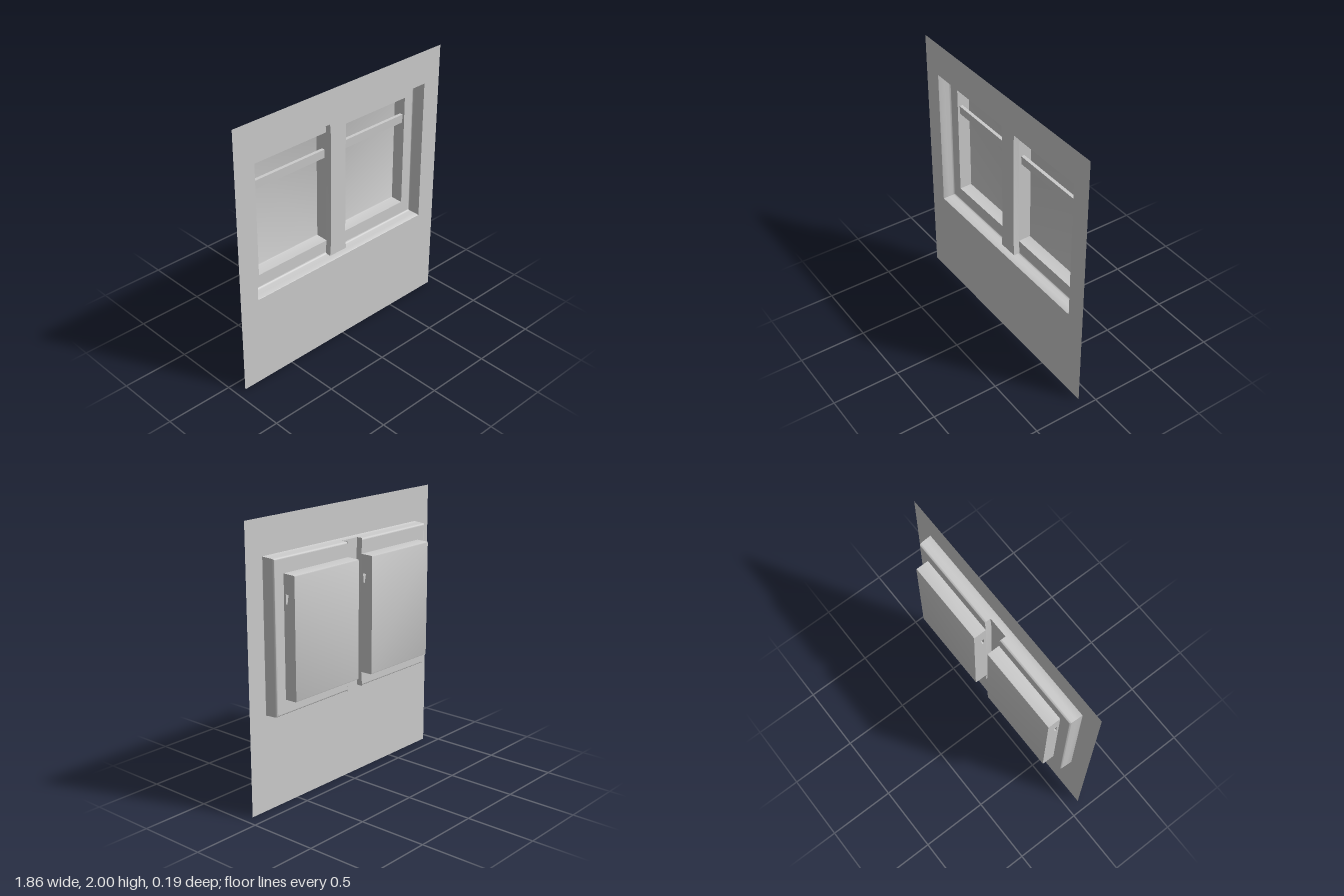
import * as THREE from 'three';
import { toCreasedNormals } from 'three/addons/utils/BufferGeometryUtils.js';

const material = new THREE.MeshStandardMaterial({ color: 0xcccccc, side: THREE.DoubleSide });

// Main dimensions
const FRONT = 0.095, MID = 0.045, BACK = -0.095;
const OPEN = { x: 0.782, top: 1.752, bottom: 0.68 };
const NICHE = { inner: 0.069, outer: 0.69, top: 1.64, bottom: 0.79 };

function addMesh(parent, name, geometry) {
  const mesh = new THREE.Mesh(geometry, material);
  mesh.name = name;
  parent.add(mesh);
  return mesh;
}

// Skin a surface over a list of cross-sections, each a list of [x, y, z]
function loft(sections) {
  const n = sections[0].length;
  const index = [];
  for (let i = 0; i < sections.length - 1; i++) {
    for (let j = 0; j < n - 1; j++) {
      const a = i * n + j, b = a + n;
      index.push(a, b, a + 1, b, b + 1, a + 1);
    }
  }
  const geometry = new THREE.BufferGeometry();
  geometry.setAttribute('position', new THREE.Float32BufferAttribute(sections.flat(2), 3));
  geometry.setIndex(index);
  geometry.computeVertexNormals();
  return toCreasedNormals(geometry, 0.6);
}

const polygon = (pts) => new THREE.Shape(pts.map(([x, y]) => new THREE.Vector2(x, y)));

// Run a [z, y] profile along x
const sweepX = (profile, x0, x1) =>
  loft([x0, x1].map((x) => profile.map(([z, y]) => [x, y, z])));

// Recess wall: slight draft, then a rounded turn into the back plate, as [inset, z]
const draft = [[0, FRONT], [0.002, FRONT - 0.004], [0.004, MID]];
const turn = [[0.004, MID], [0.006, 0.014]];
for (let i = 1; i <= 5; i++) {
  const a = (i / 5) * Math.PI / 2;
  turn.push([0.018 - 0.012 * Math.cos(a), 0.014 - 0.014 * Math.sin(a)]);
}

// Mullion half width, flaring where it meets the recess
const mullionRows = [
  [OPEN.bottom + 0.004, 0.077], [0.72, 0.075], [NICHE.bottom, NICHE.inner],
  [NICHE.top, NICHE.inner], [1.71, 0.075], [OPEN.top - 0.004, 0.077],
];

// Slat section in [z, y]: wide at the top, narrow at the bottom
const slat = [[-0.016, 1.505], [-0.041, 1.505], [-0.03, 1.44], [-0.019, 1.44]];

function createWindowHalf() {
  const half = new THREE.Group();

  // Rear part of the recess walls, open towards the mullion
  addMesh(half, 'recessWalls', loft(turn.map(([d, z]) => [
    [0.077, OPEN.top - d, z], [OPEN.x - d, OPEN.top - d, z],
    [OPEN.x - d, OPEN.bottom + d, z], [0.077, OPEN.bottom + d, z],
  ])));

  // Flat plate around the niche
  const d = 0.018;
  const inner = mullionRows.map(([y, w]) => [w, y]);
  inner[0][1] = OPEN.bottom + d;
  inner[inner.length - 1][1] = OPEN.top - d;
  const { outer, top, bottom } = NICHE;
  const plate = polygon([
    ...inner.slice(0, 3), [outer, bottom], [outer, top], ...inner.slice(3),
    [OPEN.x - d, OPEN.top - d], [OPEN.x - d, OPEN.bottom + d],
  ]);
  addMesh(half, 'backPlate', new THREE.ShapeGeometry(plate));

  // Niche top, back and bottom in one strip with eased edges
  const e = 0.008;
  const profile = [
    [0, top], [BACK + e, top - 0.002], [BACK + 0.002, top - 0.004], [BACK, top - e - 0.002],
    [BACK, bottom + e + 0.002], [BACK + 0.002, bottom + 0.004], [BACK + e, bottom + 0.002], [0, bottom],
  ];
  addMesh(half, 'nicheShell', sweepX(profile, NICHE.inner, outer));

  // Niche sides, pierced by the slat
  const side = polygon(profile);
  side.holes.push(new THREE.Path(slat.map(([z, y]) => new THREE.Vector2(z, y))));
  for (const [name, x] of [['nicheInnerSide', NICHE.inner], ['nicheOuterSide', outer]]) {
    const geometry = new THREE.ShapeGeometry(side);
    geometry.rotateY(-Math.PI / 2).translate(x, 0, 0);
    addMesh(half, name, geometry);
  }

  // Hollow slat across the niche
  addMesh(half, 'slat', sweepX([...slat, slat[0]], NICHE.inner, outer));
  return half;
}

export function createModel() {
  const model = new THREE.Group();
  model.name = 'wallWithWindow';

  // Thin wall sheet with the window opening
  const { x, top, bottom } = OPEN;
  const wall = polygon([[-0.93, 0], [0.93, 0], [0.93, 2], [-0.93, 2]]);
  wall.holes.push(polygon([[-x, bottom], [-x, top], [x, top], [x, bottom]]));
  addMesh(model, 'wall', new THREE.ShapeGeometry(wall).translate(0, 0, FRONT));

  // Front part of the recess walls, running all the way round
  addMesh(model, 'recessRim', loft(draft.map(([d, z]) => [
    [-x + d, bottom + d, z], [-x + d, top - d, z], [x - d, top - d, z],
    [x - d, bottom + d, z], [-x + d, bottom + d, z],
  ])));

  // Central mullion, open at the back
  addMesh(model, 'mullion', loft(mullionRows.map(([y, w]) => [
    [-w, y, 0], [-w, y, MID], [w, y, MID], [w, y, 0],
  ])));

  // Mirrored window halves
  for (const s of [1, -1]) {
    const half = createWindowHalf();
    half.name = s > 0 ? 'leftWindow' : 'rightWindow';
    half.scale.x = s;
    model.add(half);
  }
  return model;
}
